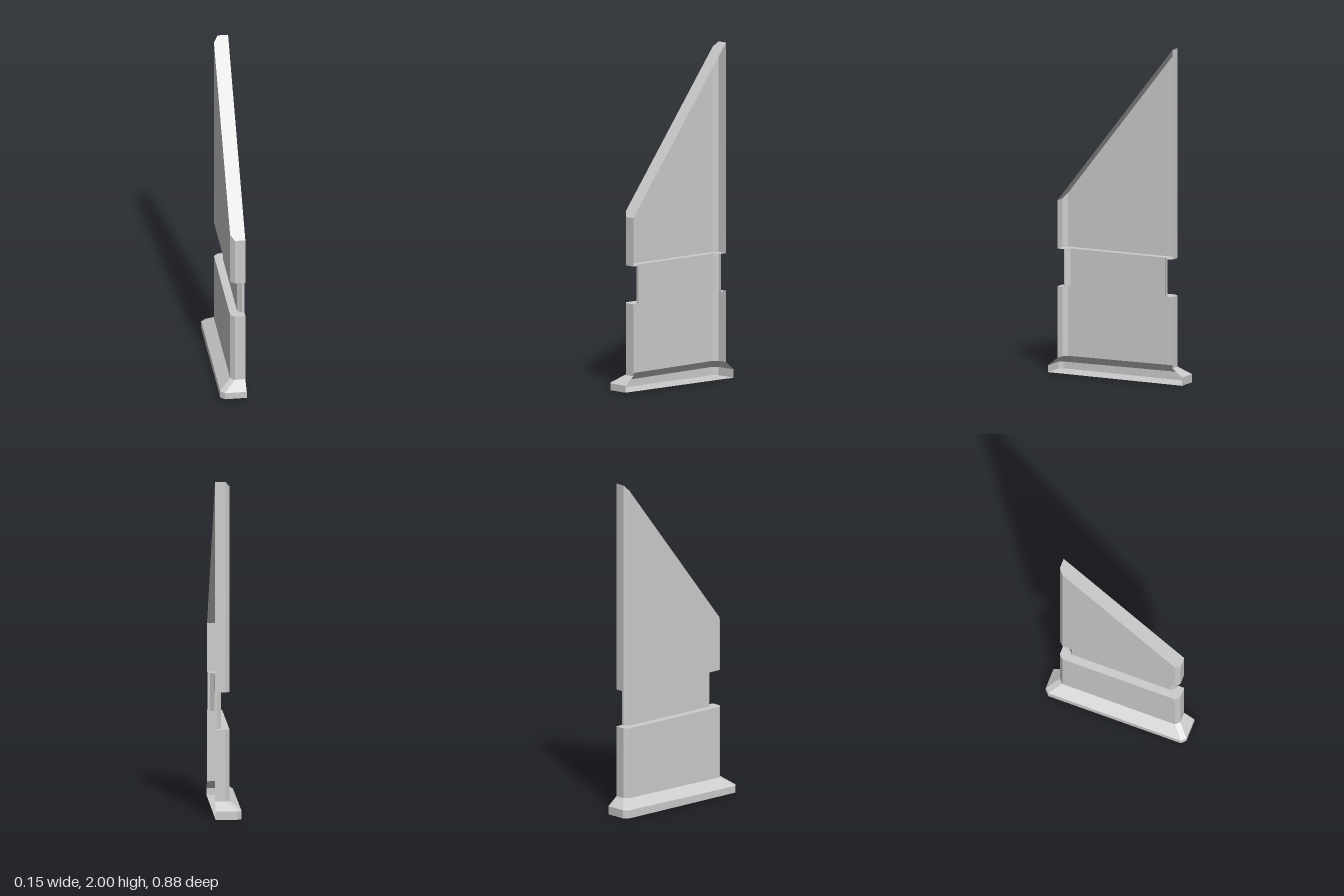
import * as THREE from 'three';

const OPEN_X = 0.077; // plane of the open side
const material = new THREE.MeshStandardMaterial({
  color: 0xcccccc, flatShading: true, side: THREE.DoubleSide,
});

// Open U-shaped section with two chamfered corners; height(z) lets it tilt.
function section(outerX, halfZ, height, chamfer = 0.025) {
  return [
    [OPEN_X, halfZ], [outerX + chamfer, halfZ], [outerX, halfZ - chamfer],
    [outerX, chamfer - halfZ], [outerX + chamfer, -halfZ], [OPEN_X, -halfZ],
  ].map(([x, z]) => [x, height(z), z]);
}

function mesh(name, triangles) {
  const geometry = new THREE.BufferGeometry();
  geometry.setAttribute('position', new THREE.Float32BufferAttribute(triangles.flat(), 3));
  geometry.computeVertexNormals();
  const result = new THREE.Mesh(geometry, material);
  result.name = name;
  return result;
}

// Wall strip joining a lower section to an upper one
function band(name, low, high) {
  const triangles = [];
  for (let i = 0; i < low.length - 1; i++) {
    triangles.push(low[i + 1], low[i], high[i], low[i + 1], high[i], high[i + 1]);
  }
  return mesh(name, triangles);
}

// Flat fill of a section
function cap(name, ring) {
  const triangles = [];
  for (let i = 1; i < ring.length - 1; i++) triangles.push(ring[0], ring[i], ring[i + 1]);
  return mesh(name, triangles);
}

export function createModel() {
  const group = new THREE.Group();
  group.name = 'slantedPillarShell';

  const flange = (height) => section(-0.077, 0.442, height);
  const body = (height) => section(-0.01, 0.379, height);
  const groove = (height) => section(0.037, 0.337, height);

  // Nearly level edges and the steep roof line
  const sole = (z) => 0.005 + 0.01 * z;
  const flangeTop = () => 0.05;
  const bodyBottom = () => 0.1;
  const grooveBottom = (z) => 0.526 + 0.005 * z;
  const grooveTop = (z) => 0.75 + 0.006 * z;
  const roofLine = (z) => 1.52 - 0.48 * z / 0.379;

  group.add(
    // Foot
    cap('footSole', flange(sole)),
    band('footRim', flange(sole), flange(flangeTop)),
    band('footSlope', flange(flangeTop), body(bodyBottom)),
    // Lower block and recessed band
    band('lowerWall', body(bodyBottom), body(grooveBottom)),
    band('lowerLedge', body(grooveBottom), groove(grooveBottom)),
    band('recessedBand', groove(grooveBottom), groove(grooveTop)),
    band('upperLedge', groove(grooveTop), body(grooveTop)),
    // Upper block with slanted roof
    band('upperWall', body(grooveTop), body(roofLine)),
    cap('slantedRoof', body(roofLine).reverse()),
  );
  return group;
}
